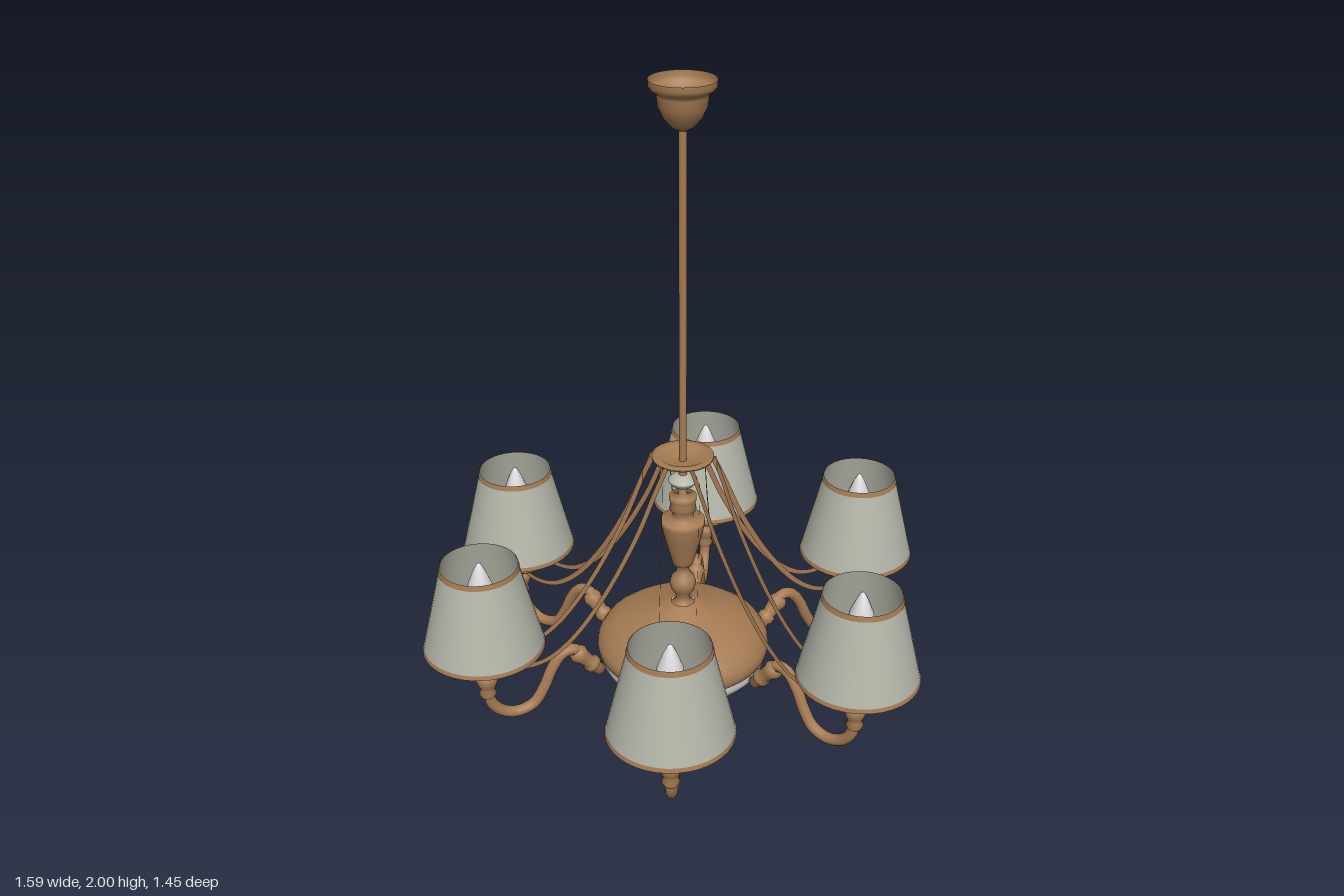
import * as THREE from 'three';

const mat = (name, color) => new THREE.MeshStandardMaterial({ name, color, side: THREE.DoubleSide });
const V2 = (p) => new THREE.Vector2(p[0], p[1]);

export function createModel() {
  const bronze = mat('bronze', 0xa57b53);
  const fabric = mat('shade fabric', 0xb4b6a9);
  const glass = mat('white glass', 0xdcdcde);

  const root = new THREE.Group();
  root.name = 'chandelier';
  const body = new THREE.Group();
  body.name = 'body';
  body.position.z = -0.012;
  root.add(body);

  const add = (parent, name, geometry, material) => {
    const m = new THREE.Mesh(geometry, material);
    m.name = name;
    parent.add(m);
    return m;
  };
  // Profiles are [radius, height] pairs, listed from bottom to top
  const lathe = (parent, name, profile, material, sides = 32) =>
    add(parent, name, new THREE.LatheGeometry(profile.map(V2), sides), material);

  // Ceiling cup, hollow on top, and hanging rod
  lathe(body, 'ceilingCup', [[0.011, 1.865], [0.03, 1.875], [0.052, 1.9], [0.066, 1.93], [0.069, 1.957],
    [0.072, 1.965], [0.086, 1.975], [0.091, 1.985], [0.091, 2]], bronze);
  lathe(body, 'rod', [[0.011, 0.88], [0.011, 1.9]], bronze, 16);

  // Crown plate where the ribbons start
  lathe(body, 'crownPlate', [[0.013, 0.865], [0.03, 0.875], [0.05, 0.893], [0.088, 0.903], [0.09, 0.912],
    [0.07, 0.912], [0.05, 0.9], [0.011, 0.895]], bronze);
  lathe(body, 'glassDisc', [[0.01, 0.806], [0.03, 0.814], [0.042, 0.827], [0.042, 0.833], [0.03, 0.844], [0.01, 0.85]], fabric);

  // Turned centre column
  lathe(body, 'column', [[0.04, 0.4], [0.022, 0.415], [0.02, 0.435], [0.034, 0.455], [0.04, 0.478], [0.034, 0.5],
    [0.02, 0.515], [0.018, 0.535], [0.03, 0.545], [0.034, 0.56], [0.045, 0.6], [0.058, 0.65], [0.065, 0.685],
    [0.065, 0.7], [0.032, 0.702], [0.03, 0.725], [0.04, 0.735], [0.036, 0.755], [0.04, 0.765], [0.04, 0.78],
    [0.012, 0.783], [0.012, 0.88]], bronze);

  // Metal dome and glass bowl
  lathe(body, 'dome', [[0.25, 0.245], [0.259, 0.25], [0.262, 0.27], [0.258, 0.29], [0.24, 0.318], [0.205, 0.343],
    [0.15, 0.366], [0.1, 0.382], [0.07, 0.398], [0.035, 0.412]], bronze, 40);
  lathe(body, 'bowl', [[0.012, 0.116], [0.06, 0.119], [0.12, 0.131], [0.175, 0.152], [0.218, 0.18], [0.245, 0.21],
    [0.253, 0.23], [0.253, 0.255]], glass, 40);

  // Bottom finial
  lathe(body, 'finialStem', [[0.012, 0.055], [0.024, 0.062], [0.012, 0.072], [0.014, 0.085], [0.03, 0.1], [0.034, 0.115], [0.02, 0.122]], bronze, 20);
  lathe(body, 'finialBall', [[0.002, 0.008], [0.018, 0.014], [0.028, 0.027], [0.03, 0.037], [0.026, 0.05], [0.012, 0.058]], fabric, 20);
  lathe(body, 'finialTip', [[0.001, 0], [0.01, 0.004], [0.012, 0.012]], bronze, 12);

  // Arm path in the radial plane
  const armPath = new THREE.CatmullRomCurve3([[0.618, 0.25], [0.608, 0.2], [0.575, 0.162], [0.53, 0.148], [0.48, 0.164],
    [0.445, 0.215], [0.418, 0.275], [0.385, 0.318], [0.35, 0.325], [0.315, 0.28], [0.275, 0.235]]
    .map(([x, y]) => new THREE.Vector3(x, y, 0)));
  const armGeometry = new THREE.TubeGeometry(armPath, 48, 0.0175, 10);

  // Thin upright ribbon: a curve in the radial plane widened to both sides
  const ribbonPath = new THREE.CatmullRomCurve3([[0.072, 0.908], [0.108, 0.83], [0.165, 0.7], [0.27, 0.52], [0.37, 0.4],
    [0.45, 0.348], [0.52, 0.342], [0.565, 0.362]].map(([x, y]) => new THREE.Vector3(x, y, 0)));
  const upper = [], lower = [];
  for (let i = 0; i <= 32; i++) {
    const p = ribbonPath.getPoint(i / 32), t = ribbonPath.getTangent(i / 32);
    upper.push(new THREE.Vector2(p.x - t.y * 0.008, p.y + t.x * 0.008));
    lower.unshift(new THREE.Vector2(p.x + t.y * 0.008, p.y - t.x * 0.008));
  }
  const ribbonGeometry = new THREE.ShapeGeometry(new THREE.Shape([...upper, ...lower]));

  // Shade radius at a given height
  const shadeR = (y) => 0.175 - (0.175 - 0.11) * (y - 0.415) / 0.27;
  const band = (y0, y1, out) => [[shadeR(y0) + out, y0], [shadeR(y1) + out, y1]];

  [4.6, 60.3, 125.8, 179.1, 244.3, 299.9].forEach((deg) => {
    const arm = new THREE.Group();
    arm.name = 'armAssembly';
    arm.rotation.y = THREE.MathUtils.degToRad(deg);
    body.add(arm);
    add(arm, 'arm', armGeometry, bronze);

    // Turned sleeve at the inner end of the arm
    const sleeve = lathe(arm, 'armSleeve', [[0.001, -0.068], [0.02, -0.066], [0.02, -0.04], [0.027, -0.034], [0.027, -0.018],
      [0.02, -0.01], [0.025, 0.02], [0.03, 0.036], [0.024, 0.05], [0.017, 0.056]], bronze, 14);
    sleeve.position.set(0.312, 0.277, 0);
    sleeve.rotation.z = -0.72;

    // Pair of ribbons from the crown to the drip dish
    for (const side of [-1, 1]) {
      const ribbon = add(arm, 'ribbon', ribbonGeometry, bronze);
      ribbon.position.z = side * 0.053;
    }

    // Lamp: cup, dish, candle, bulb and trimmed shade
    const lamp = new THREE.Group();
    lamp.name = 'lamp';
    lamp.position.x = 0.618;
    arm.add(lamp);
    lathe(lamp, 'cup', [[0.018, 0.225], [0.026, 0.24], [0.02, 0.255], [0.026, 0.268], [0.033, 0.288], [0.03, 0.303],
      [0.02, 0.313], [0.024, 0.32], [0.045, 0.328], [0.066, 0.343], [0.096, 0.356], [0.097, 0.363], [0.07, 0.358], [0.001, 0.35]], bronze, 24);
    lathe(lamp, 'candle', [[0.026, 0.35], [0.026, 0.55], [0.001, 0.55]], bronze, 16);
    lathe(lamp, 'bulb', [[0.016, 0.55], [0.032, 0.565], [0.04, 0.59], [0.034, 0.625], [0.018, 0.665], [0.006, 0.688], [0.0005, 0.692]], glass, 10);
    lathe(lamp, 'shade', band(0.415, 0.685, 0), fabric, 40);
    lathe(lamp, 'shadeTopTrim', band(0.67, 0.686, 0.0015), bronze, 40);
    lathe(lamp, 'shadeBottomTrim', band(0.414, 0.427, 0.0015), bronze, 40);
  });

  return root;
}
